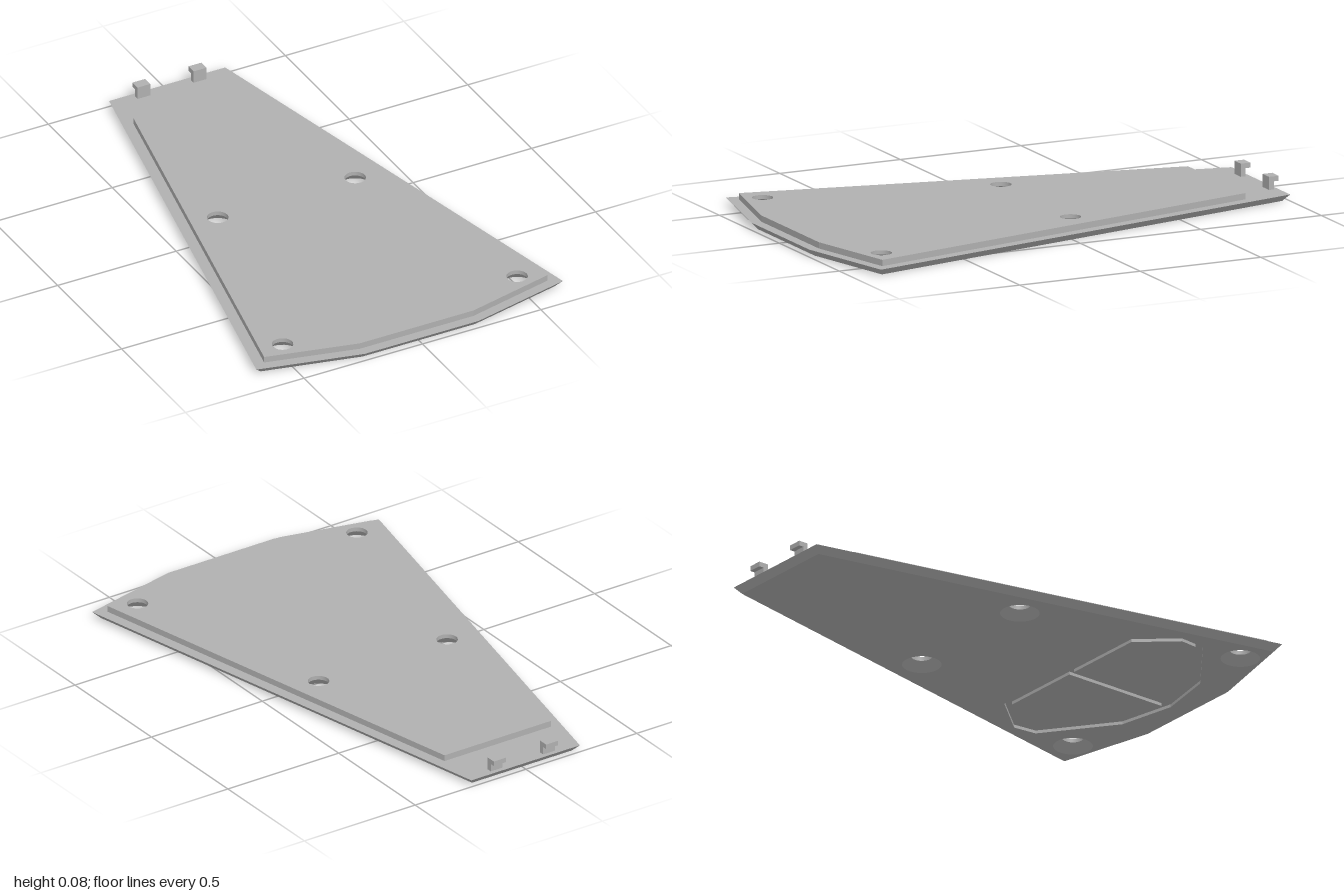
import * as THREE from 'three';

const grey = new THREE.MeshStandardMaterial({ color: 0xb0b0b0 });
grey.name = 'grey';

const BASE_TOP = 0.026, SLAB_TOP = 0.05, SINK_TOP = 0.034, GROOVE = 0.012, GROOVE_W = 0.027;
const HOLE_R = 0.04, SINK_R = 0.074;
const HOLES = [[0.29, -0.064], [-0.29, -0.064], [0.495, 0.823], [-0.495, 0.823]];

// Loops are [x, z] points, running front to back on +x and returning on -x
const mirror = (pts) => pts.map(([x, z]) => [-x, z]).reverse();
const symmetric = (half) => [...half, ...mirror(half.filter(([x]) => x > 0))];

// Moves every edge of a loop inwards by w
function inset(loop, w) {
  const n = loop.length;
  const inward = (a, b) => {
    const dx = b[0] - a[0], dz = b[1] - a[1], l = Math.hypot(dx, dz);
    return [dz / l, -dx / l];
  };
  return loop.map((p, i) => {
    const a = inward(loop[(i + n - 1) % n], p), b = inward(p, loop[(i + 1) % n]);
    const k = w / (1 + a[0] * b[0] + a[1] * b[1]);
    return [p[0] + (a[0] + b[0]) * k, p[1] + (a[1] + b[1]) * k];
  });
}

const circle = ([cx, cz], r) => Array.from({ length: 32 }, (_, i) => {
  const a = (i / 32) * Math.PI * 2;
  return [cx + Math.sin(a) * r, cz + Math.cos(a) * r];
});

// Horizontal face bounded by a loop, with holes
function face(loop, holes, y, up) {
  const toV = (pts) => pts.map(([x, z]) => new THREE.Vector2(x, -z));
  const shape = new THREE.Shape(toV(loop));
  shape.holes = holes.map((h) => new THREE.Path(toV(h)));
  const g = new THREE.ShapeGeometry(shape).rotateX(-Math.PI / 2).translate(0, y, 0);
  if (!up) {
    g.index.array.reverse();
    g.computeVertexNormals();
  }
  return g;
}

// Band between a lower and an upper loop; reversed loops face inwards
function walls(low, y0, high, y1) {
  const v = [];
  low.forEach((p, i) => {
    const j = (i + 1) % low.length;
    const a = [p[0], y0, p[1]], b = [low[j][0], y0, low[j][1]];
    const c = [high[j][0], y1, high[j][1]], d = [high[i][0], y1, high[i][1]];
    v.push(...a, ...b, ...c, ...a, ...c, ...d);
  });
  const g = new THREE.BufferGeometry();
  g.setAttribute('position', new THREE.Float32BufferAttribute(v, 3));
  g.computeVertexNormals();
  return g;
}

export function createModel() {
  const model = new THREE.Group();
  model.name = 'coverPanel';
  const add = (name, geometry) => {
    const m = new THREE.Mesh(geometry, grey);
    m.name = name;
    model.add(m);
    return m;
  };

  const rim = symmetric([[0.24, 0.995], [0.647, 0.9], [0.245, -0.998]]);
  const bottom = inset(rim, 0.024);
  const slab = symmetric([[0.24, 0.955], [0.598, 0.87], [0.24, -0.815]]);
  const grooveHalf = [[0, 0.89], [0.23, 0.845], [0.495, 0.645], [0.505, 0.55], [0.365, 0.39], [0, 0.39]];
  // Front centre point first, back centre point in the middle
  const groove = [...grooveHalf, ...mirror(grooveHalf.slice(1, -1))];

  // Bevelled base plate
  add('baseBevel', walls(bottom, 0, rim, BASE_TOP));
  add('baseLedge', face(rim, [slab], BASE_TOP, true));
  add('baseUnderside', face(bottom, [groove, ...HOLES.map((h) => circle(h, SINK_R))], 0, false));

  // Raised slab
  add('slabSides', walls(slab, BASE_TOP, slab, SLAB_TOP));
  add('slabTop', face(slab, HOLES.map((h) => circle(h, HOLE_R)), SLAB_TOP, true));

  // Countersunk screw holes
  const ring = (r1, y1, r0, y0) =>
    new THREE.LatheGeometry([new THREE.Vector2(r1, y1), new THREE.Vector2(r0, y0)], 32);
  for (const [x, z] of HOLES) {
    add('screwBore', ring(HOLE_R, SLAB_TOP, HOLE_R, SINK_TOP)).position.set(x, 0, z);
    add('screwCountersink', ring(HOLE_R, SINK_TOP, SINK_R, 0)).position.set(x, 0, z);
  }

  // Groove underneath, leaving two panels inside it
  const outer = [...groove].reverse();
  add('grooveWall', walls(outer, 0, outer, GROOVE));
  add('grooveFloor', face(groove, [], GROOVE, false));
  const panel = inset(grooveHalf.map(([x, z]) => [x || -GROOVE_W / 2, z]), GROOVE_W);
  for (const loop of [panel, mirror(panel)]) {
    add('groovePanelSides', walls(loop, 0, loop, GROOVE));
    add('groovePanelFace', face(loop, [], 0, false));
  }

  // Hooked clips at the back edge, profile as (distance to the back, height)
  const profile = [[0.96, BASE_TOP], [0.98, BASE_TOP], [0.98, 0.057], [1, 0.057], [1, 0.076], [0.96, 0.076]];
  const clip = new THREE.ExtrudeGeometry(
    new THREE.Shape(profile.map(([b, y]) => new THREE.Vector2(b, y))),
    { depth: 0.054, bevelEnabled: false },
  ).translate(0, 0, -0.027).rotateY(Math.PI / 2);
  for (const x of [-0.118, 0.118]) add('clip', clip).position.x = x;

  return model;
}
